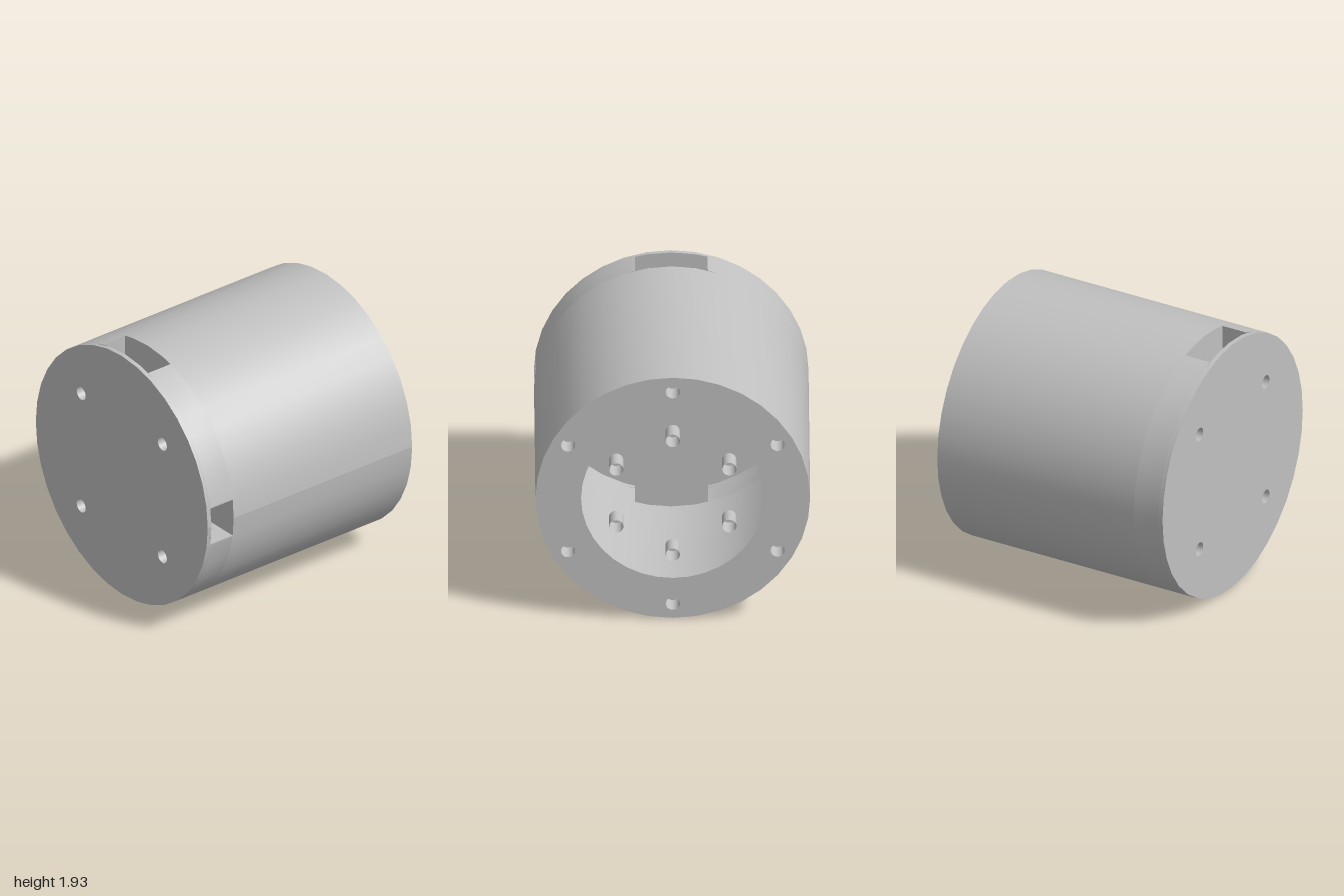
import * as THREE from 'three';

const R = 0.963, HALF = 0.918, BORE = 0.643, HOLE = 0.05, DEPTH = 0.14;
const SLOT0 = -0.885, SLOT1 = -0.685;   // slot range along the axis
const SLOT_Z = 0.255, SLOT_Y = 0.145;   // half widths of the slots
const DEG = Math.PI / 180;

// Points [z, y] on the 36-sided outer profile between two angles in degrees
function arc(a0, a1) {
  const angles = [a0];
  for (let a = Math.floor(a0 / 10 + 1) * 10; a < a1 - 1e-6; a += 10) angles.push(a);
  angles.push(a1);
  return angles.map(a => [R * Math.cos(a * DEG), R * Math.sin(a * DEG)]);
}

// Strip of quads that sweeps a [z, y] path from x0 to x1
function ribbon(path, x0, x1, flat = false) {
  const pos = [], index = [];
  path.forEach(([z, y], i) => {
    pos.push(x0, y, z, x1, y, z);
    if (i) {
      const a = 2 * i - 2;
      index.push(a, a + 1, a + 3, a, a + 3, a + 2);
    }
  });
  let g = new THREE.BufferGeometry();
  g.setAttribute('position', new THREE.Float32BufferAttribute(pos, 3));
  g.setIndex(index);
  if (flat) g = g.toNonIndexed();
  g.computeVertexNormals();
  return g;
}

export function createModel() {
  const model = new THREE.Group();
  model.name = 'housing';
  const grey = new THREE.MeshStandardMaterial({ color: 0xc0c0c0, side: THREE.DoubleSide });
  grey.name = 'grey';

  const body = new THREE.Group();
  body.name = 'body';
  body.position.y = R + 0.002;
  body.rotation.y = 0.0408;
  model.add(body);

  const add = (name, geometry, x = 0, y = 0, z = 0) => {
    const mesh = new THREE.Mesh(geometry, grey);
    mesh.name = name;
    mesh.position.set(x, y, z);
    body.add(mesh);
  };

  // Outer wall: two full rings, and arcs between the slots
  const top = Math.asin(SLOT_Z / R) / DEG, front = Math.asin(SLOT_Y / R) / DEG;
  add('outerWall', ribbon(arc(0, 360), SLOT1, HALF));
  add('endRing', ribbon(arc(0, 360), -HALF, SLOT0));
  add('upperFrontWall', ribbon(arc(front, 90 - top), SLOT0, SLOT1));
  add('backWall', ribbon(arc(90 + top, 270 - top), SLOT0, SLOT1));
  add('lowerFrontWall', ribbon(arc(270 + top, 360 - front), SLOT0, SLOT1));

  // Hole positions [z, y]
  const ring = r => Array.from({ length: 6 }, (_, i) => {
    const a = (90 + 60 * i) * DEG;
    return [r * Math.cos(a), r * Math.sin(a)];
  });
  const rimHoles = ring(0.848), innerHoles = ring(0.457);
  const endHoles = [[1, 1], [-1, 1], [-1, -1], [1, -1]].map(p => p.map(v => v * 0.455));

  // Flat disc with holes, facing along the axis in the given direction
  function disc(holes, bore, dir) {
    const shape = new THREE.Shape(arc(0, 350).map(p => new THREE.Vector2(...p)));
    const cut = (u, v, r) => shape.holes.push(new THREE.Path().absarc(u, v, r, 0, Math.PI * 2, true));
    if (bore) cut(0, 0, bore);
    holes.forEach(([z, y]) => cut(-dir * z, y, HOLE));
    return new THREE.ShapeGeometry(shape, 18).rotateY(dir * Math.PI / 2);
  }
  add('rim', disc(rimHoles, BORE, 1), HALF);
  add('endPlate', disc(endHoles, 0, -1), -HALF);

  // Blind screw holes: an open sleeve with a closed bottom
  function sleeves(name, holes, dir) {
    for (const [z, y] of holes) {
      const tube = new THREE.CylinderGeometry(HOLE, HOLE, DEPTH, 36, 1, true).rotateZ(-Math.PI / 2);
      add(name, tube, dir * (HALF - DEPTH / 2), y, z);
      const bottom = new THREE.CircleGeometry(HOLE, 36).rotateY(dir * Math.PI / 2);
      add(name + 'Bottom', bottom, dir * (HALF - DEPTH), y, z);
    }
  }
  sleeves('rimHole', rimHoles, 1);
  sleeves('innerSleeve', innerHoles, 1);
  sleeves('endHole', endHoles, -1);

  // T-shaped channel joining the top, bottom and front slots
  const frontArc = arc(-front, front), topArc = arc(90 - top, 90 + top), bottomArc = arc(270 - top, 270 + top);
  const upper = [SLOT_Z, SLOT_Y], lower = [SLOT_Z, -SLOT_Y];
  const outline = [...frontArc, upper, ...topArc, ...bottomArc, lower];
  for (const [name, x] of [['channelInnerFace', SLOT1], ['channelOuterFace', SLOT0]]) {
    const shape = new THREE.Shape(outline.map(p => new THREE.Vector2(...p)));
    add(name, new THREE.ShapeGeometry(shape).rotateY(-Math.PI / 2), x);
  }
  const sides = [
    [topArc[0], upper, frontArc.at(-1)],
    [bottomArc[0], topArc.at(-1)],
    [frontArc[0], lower, bottomArc.at(-1)],
  ];
  sides.forEach(path => add('channelSide', ribbon(path, SLOT0, SLOT1, true)));

  return model;
}
